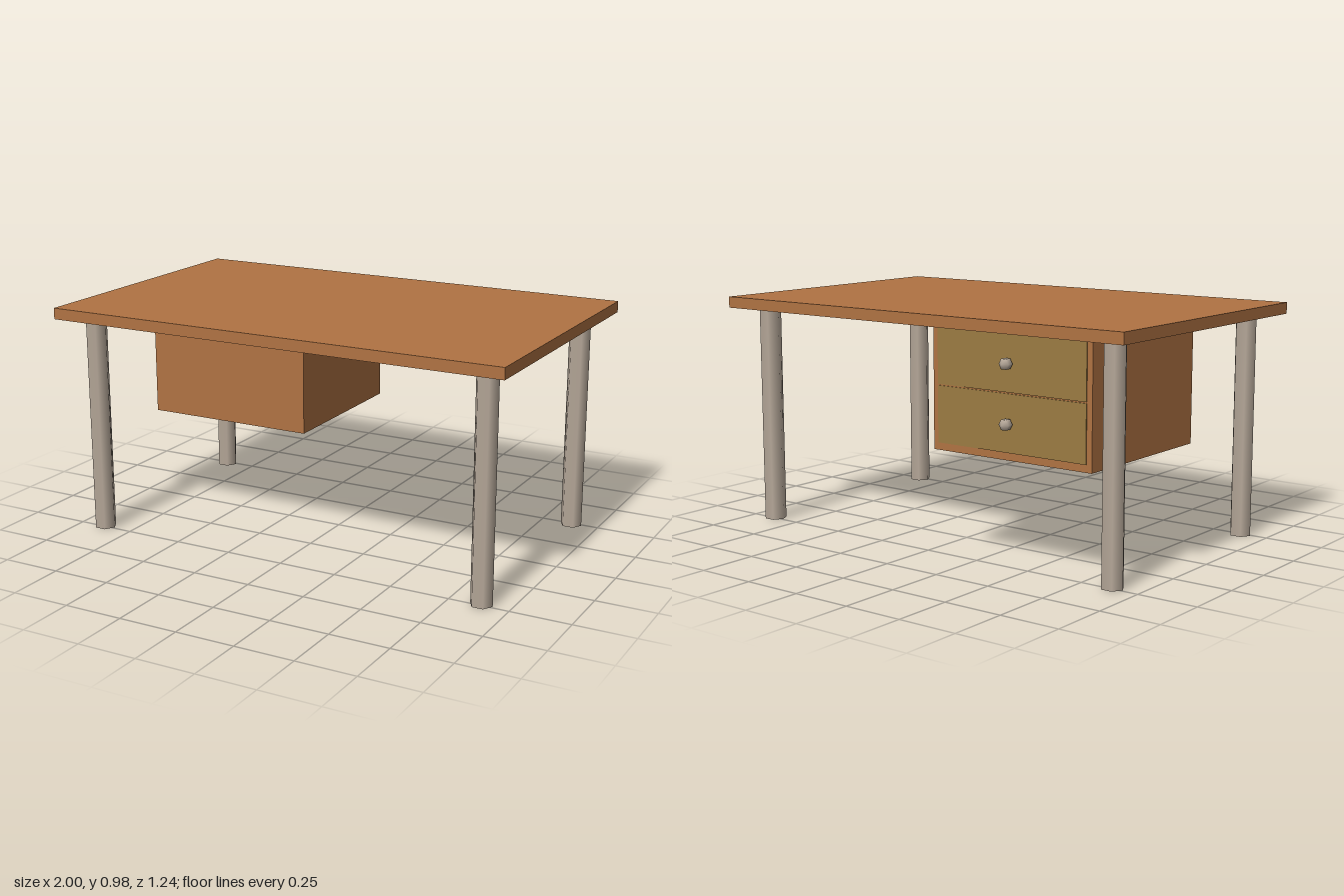
import * as THREE from 'three';

export function createModel() {
  const desk = new THREE.Group();
  desk.name = 'desk';

  const material = (name, color) => {
    const m = new THREE.MeshStandardMaterial({ color });
    m.name = name;
    return m;
  };
  const wood = material('brown wood', 0xb07343);
  const olive = material('olive drawer', 0x9b7b42);
  const metal = material('warm grey metal', 0xb8aa9b);

  const add = (name, geometry, mat, x, y, z) => {
    const mesh = new THREE.Mesh(geometry, mat);
    mesh.name = name;
    mesh.position.set(x, y, z);
    desk.add(mesh);
    return mesh;
  };

  // Box given by its minimum and maximum corners
  const addBox = (name, mat, [x0, y0, z0], [x1, y1, z1]) =>
    add(name, new THREE.BoxGeometry(x1 - x0, y1 - y0, z1 - z0), mat,
      (x0 + x1) / 2, (y0 + y1) / 2, (z0 + z1) / 2);

  // Table top
  addBox('tableTop', wood, [-1, 0.93, -0.618], [1, 0.977, 0.618]);

  // Four six-sided legs with smooth sides, corners towards the left and right
  const legGeometry = new THREE.CylinderGeometry(0.0465, 0.0465, 0.93, 6, 1, false, Math.PI / 2);
  for (const x of [-0.883, 0.883]) {
    for (const z of [-0.49, 0.49]) {
      add((z > 0 ? 'front' : 'back') + (x > 0 ? 'Left' : 'Right') + 'Leg', legGeometry, metal, x, 0.465, z);
    }
  }

  // Drawer cabinet hung under the top, opening to the back
  addBox('drawerCabinet', wood, [-0.835, 0.44, -0.563], [-0.09, 0.93, 0.143]);

  // Two drawer fronts with a knob each
  const knobGeometry = new THREE.SphereGeometry(0.0265, 6, 3).rotateX(Math.PI / 2);
  [['lower', 0.47, 0.697], ['upper', 0.702, 0.926]].forEach(([level, y0, y1]) => {
    addBox(level + 'DrawerFront', olive, [-0.811, y0, -0.567], [-0.114, y1, -0.55]);
    add(level + 'DrawerKnob', knobGeometry, metal, -0.4625, (y0 + y1) / 2, -0.591);
  });

  return desk;
}
